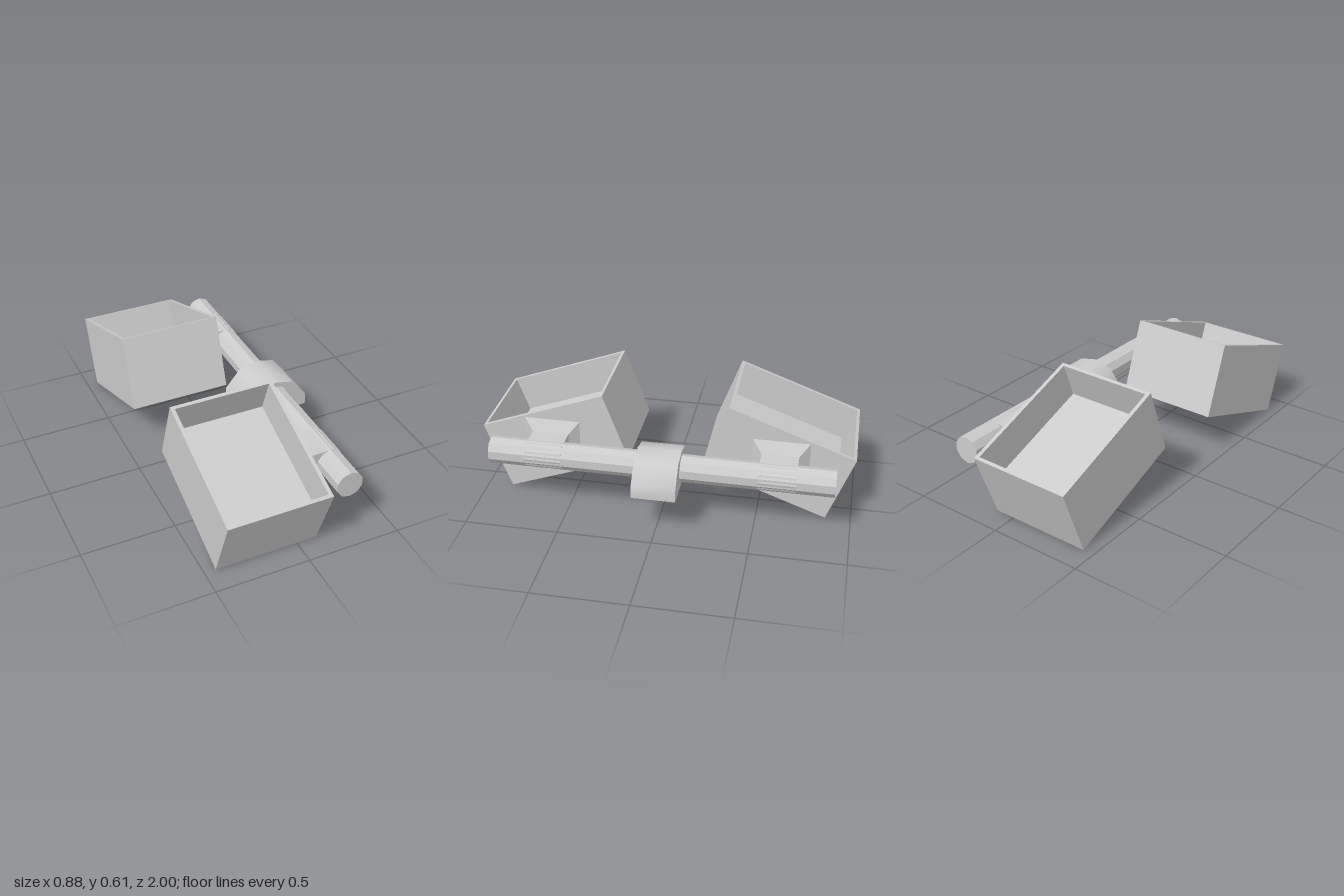
import * as THREE from 'three';
import { toCreasedNormals } from 'three/addons/utils/BufferGeometryUtils.js';

const material = new THREE.MeshStandardMaterial({ color: 0xcccccc });
const flatMaterial = new THREE.MeshStandardMaterial({ color: 0xcccccc, flatShading: true });

const AXLE_X = 0.255;
const AXLE_Y = 0.3175;
const AXLE_R = 0.0725;

// Joins rectangular sections [halfX, halfZ, y] in order and caps both ends
function loft(sections) {
  const rings = sections.map(([x, z, y]) => [[-x, y, -z], [-x, y, z], [x, y, z], [x, y, -z]]);
  const positions = [];
  const quad = (a, b, c, d) => positions.push(...a, ...b, ...c, ...a, ...c, ...d);
  quad(...[...rings[0]].reverse());
  for (let i = 0; i < rings.length - 1; i++) {
    for (let j = 0; j < 4; j++) {
      const k = (j + 1) % 4;
      quad(rings[i][j], rings[i][k], rings[i + 1][k], rings[i + 1][j]);
    }
  }
  quad(...rings[rings.length - 1]);
  const geometry = new THREE.BufferGeometry();
  geometry.setAttribute('position', new THREE.Float32BufferAttribute(positions, 3));
  geometry.computeVertexNormals();
  return geometry;
}

// Ten-sided bar lying along z
function bar(name, length, z, thetaStart) {
  const geometry = new THREE.CylinderGeometry(AXLE_R, AXLE_R, length, 10, 1, false, thetaStart);
  const mesh = new THREE.Mesh(geometry, flatMaterial);
  mesh.name = name;
  mesh.rotation.x = Math.PI / 2;
  mesh.position.set(AXLE_X, AXLE_Y, z);
  return mesh;
}

// Tilted open container with its bracket and collar; side is +1 front, -1 back
function createBucketArm(side) {
  const group = new THREE.Group();
  group.name = side > 0 ? 'frontBucketArm' : 'backBucketArm';

  // Outer walls, rim, inner walls and raised floor
  const bucket = new THREE.Mesh(loft([
    [0.275, 0.355, -0.197],
    [0.275, 0.355, 0.197],
    [0.255, 0.337, 0.197],
    [0.255, 0.337, -0.003],
  ]), flatMaterial);
  bucket.name = 'bucket';
  bucket.position.set(-0.165, 0.307, 0.6 * side);
  bucket.rotation.x = THREE.MathUtils.degToRad(20.1) * side;

  // Flared plate narrowing into a square arm that reaches the axle
  const bracket = new THREE.Mesh(loft([
    [0.1275, 0.15, 0.11],
    [0.069, 0.0975, 0.15],
    [0.069, 0.0975, AXLE_X],
  ]), flatMaterial);
  bracket.name = 'bracket';
  bracket.rotation.z = -Math.PI / 2;
  bracket.position.set(0, AXLE_Y, 0.6125 * side);

  group.add(bucket, bracket, bar('collar', 0.195, 0.6125 * side, Math.PI / 2));
  return group;
}

// Rounded-top block around the middle of the axle
function createHub() {
  const right = [[0.185, 0.225], [0.185, 0.29], [0.1, 0.393]];
  const left = right.map(([x, y]) => [-x, y]).reverse();
  const outline = [...right, [0, 0.416], ...left].map(([x, y]) => new THREE.Vector2(x, y));
  const geometry = new THREE.ExtrudeGeometry(new THREE.Shape(outline), { depth: 0.23, bevelEnabled: false });
  const hub = new THREE.Mesh(toCreasedNormals(geometry, Math.PI / 3), material);
  hub.name = 'hub';
  hub.position.set(AXLE_X, 0, -0.115);
  return hub;
}

export function createModel() {
  const model = new THREE.Group();
  model.name = 'twinBucketAxle';
  model.add(bar('axle', 1.815, 0, 0), createHub());
  for (const side of [1, -1]) model.add(createBucketArm(side));
  return model;
}
